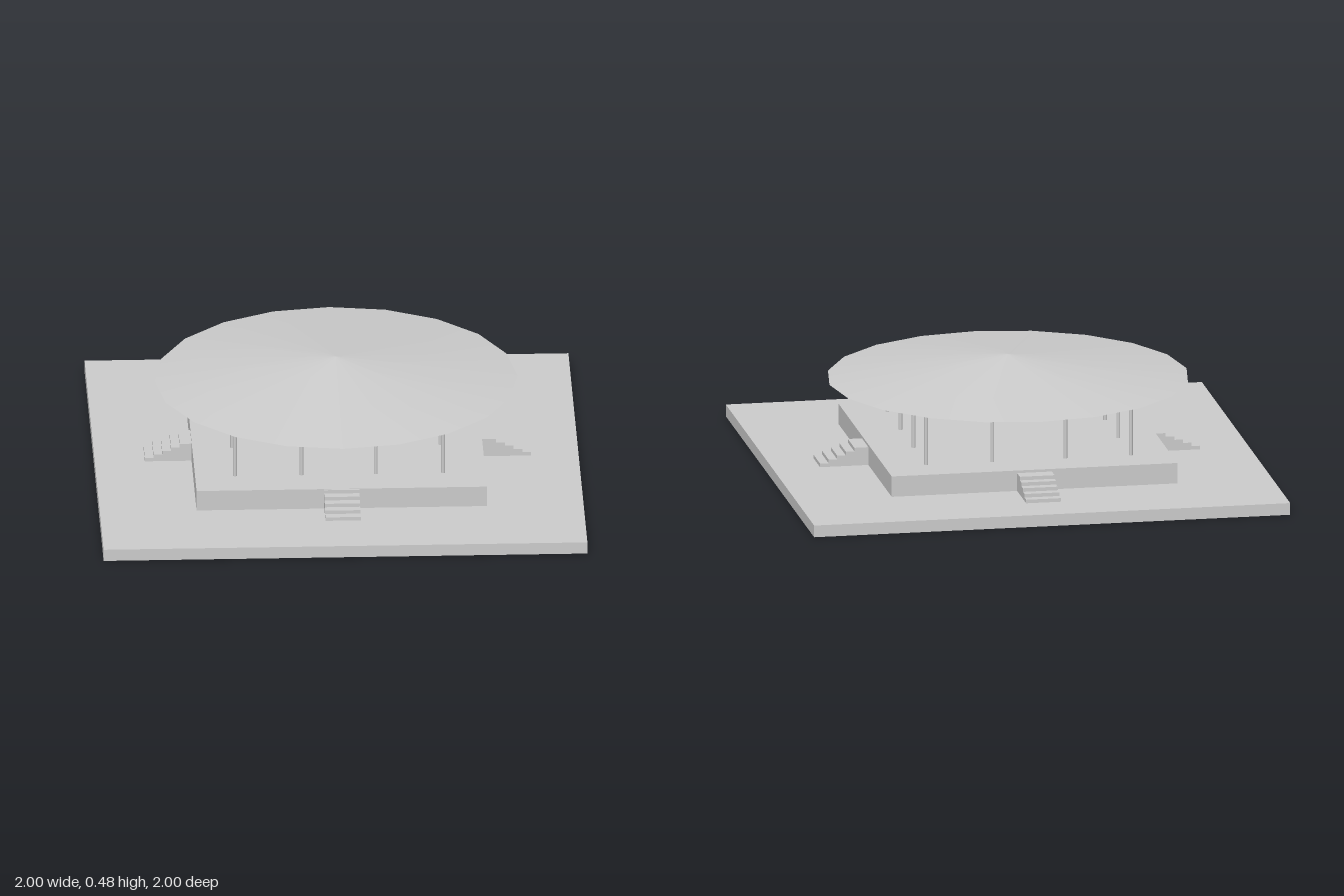
import * as THREE from 'three';

const material = new THREE.MeshStandardMaterial({ color: 0xcccccc });

export function createModel() {
  const group = new THREE.Group();

  const add = (name, geometry, x, y, z, parent = group) => {
    const mesh = new THREE.Mesh(geometry, material);
    mesh.name = name;
    mesh.position.set(x, y, z);
    parent.add(mesh);
    return mesh;
  };

  // Ground slab and raised platform
  const baseTop = 0.05, floorTop = 0.137, roofBottom = 0.38, roofTop = 0.477;
  add('groundSlab', new THREE.BoxGeometry(2, baseTop, 2), 0, baseTop / 2, 0);
  add('platform', new THREE.BoxGeometry(1.2, floorTop - baseTop, 1.2), 0, (floorTop + baseTop) / 2, 0);

  // Columns around the edge of a four by four grid
  const columns = new THREE.Group();
  columns.name = 'columns';
  group.add(columns);
  const columnHeight = roofBottom - floorTop + 0.002;
  const columnGeometry = new THREE.CylinderGeometry(0.008, 0.008, columnHeight, 12);
  const xs = [-0.435, -0.16, 0.147, 0.425];
  const zs = [-0.437, -0.152, 0.145, 0.443];
  xs.forEach((x, i) => zs.forEach((z, j) => {
    const onEdge = i % 3 === 0 || j % 3 === 0;
    if (onEdge) add('column', columnGeometry, x, floorTop + columnHeight / 2, z, columns);
  }));

  // Shallow twenty-sided conical roof with a flat underside
  const roofHeight = roofTop - roofBottom;
  add('roof', new THREE.ConeGeometry(0.75, roofHeight, 20), 0, roofBottom + roofHeight / 2, 0);

  // Solid flight of five steps: stepped side profile extruded across its width
  const stepCount = 5, run = 0.036, rise = 0.0152, width = 0.146;
  const addStairs = (name, angle, reach, bottom) => {
    const shape = new THREE.Shape();
    shape.moveTo(0.58, 0);
    shape.lineTo(reach, 0);
    for (let i = 0; i < stepCount; i++) {
      shape.lineTo(reach - i * run, (i + 1) * rise);
      const inner = i === stepCount - 1 ? 0.58 : reach - (i + 1) * run;
      shape.lineTo(inner, (i + 1) * rise);
    }
    const geometry = new THREE.ExtrudeGeometry(shape, { depth: width, bevelEnabled: false });
    geometry.translate(0, 0, -width / 2);
    add(name, geometry, 0, bottom, 0).rotation.y = angle;
  };
  addStairs('leftStairs', 0, 0.803, baseTop);
  addStairs('backStairs', Math.PI / 2, 0.805, baseTop);
  addStairs('rightStairs', Math.PI, 0.793, baseTop);
  // The front flight is set further in and sits slightly above the slab
  addStairs('frontStairs', -Math.PI / 2, 0.754, 0.06);

  return group;
}
